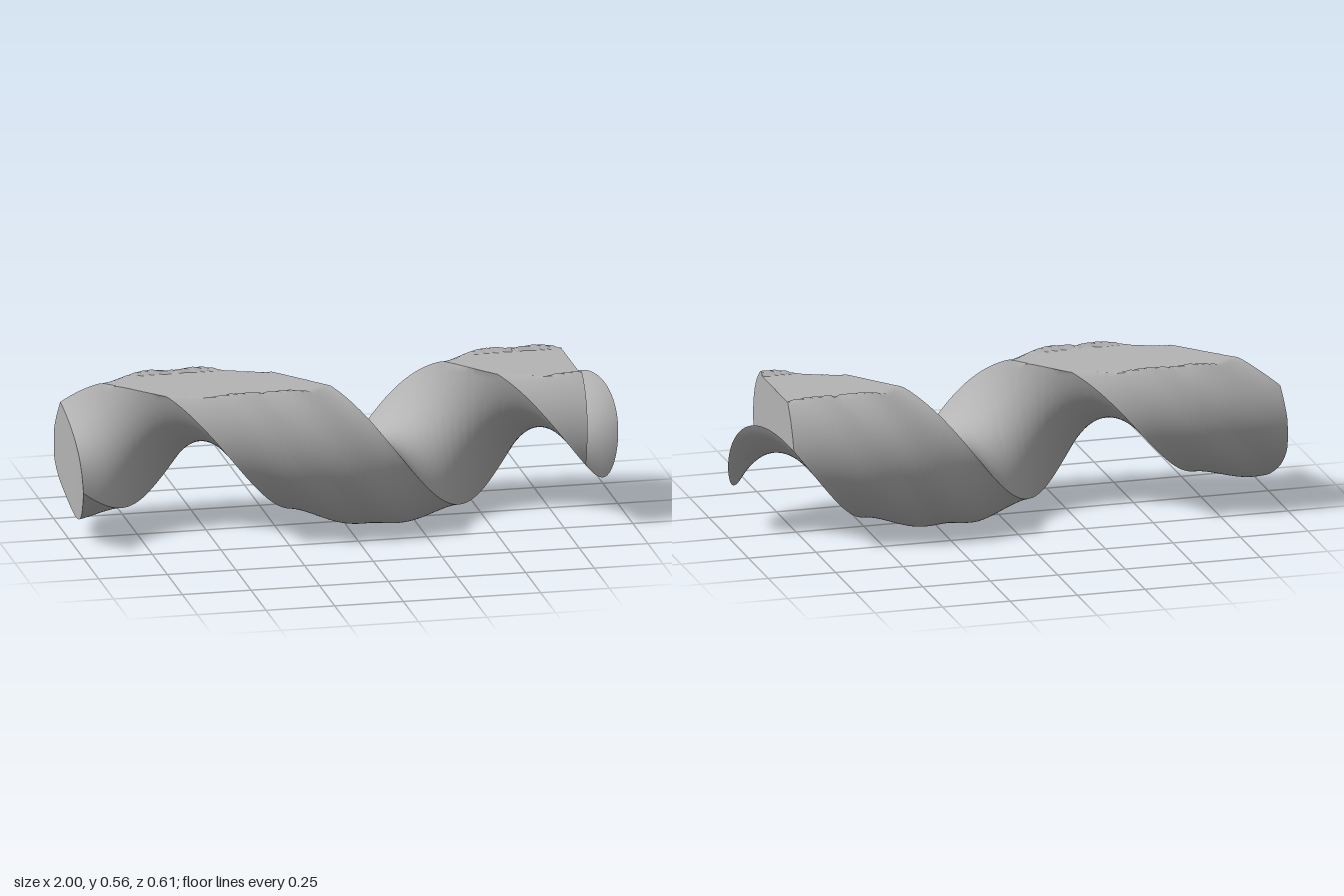
import * as THREE from 'three';
import { toCreasedNormals } from 'three/addons/utils/BufferGeometryUtils.js';

const START = -0.97, END = 0.83, TIP = 1;
const HALF_WIDTH = 0.257, DEPTH = 0.303;
const clamp = THREE.MathUtils.clamp;

// Places a cross-section point (u across the flat, w out of the round back)
// at station x on the slightly rising, tapering, twisting axis.
function place(x, u, w) {
  const turn = (x - 0.155) / 0.615 * Math.PI;
  const left = clamp((0.1 - x) / 1.07, 0, 1);
  const size = 1 - 0.14 * left;
  const s = Math.sin(turn), c = Math.cos(turn);
  const z = size * (-u * c - w * s);
  let y = 0.303 + 0.035 * Math.min(1, left * 1.4) + size * (u * s - w * c);
  // flat trimmed top with a slight lip on both sides
  y = Math.min(y, 0.54 + clamp(Math.abs(z) - 0.155, 0, 0.016));
  // hollowed left end
  const fade = clamp((-0.75 - x) / 0.22, 0, 1);
  return [x - 0.03 * fade * Math.min(1, (z / 0.24) ** 2), Math.max(0, y), z];
}

// Surface from a rule of two parameters, each running 0..1
function grid(rows, cols, rule, flip = false) {
  const pos = [], idx = [];
  for (let i = 0; i <= rows; i++) {
    for (let j = 0; j <= cols; j++) pos.push(...rule(i / rows, j / cols));
  }
  for (let i = 0; i < rows; i++) {
    for (let j = 0; j < cols; j++) {
      const a = i * (cols + 1) + j, b = a + cols + 1;
      if (flip) idx.push(a, b + 1, b, a, a + 1, b + 1);
      else idx.push(a, b, b + 1, a, b + 1, a + 1);
    }
  }
  const g = new THREE.BufferGeometry();
  g.setAttribute('position', new THREE.Float32BufferAttribute(pos, 3));
  g.setIndex(idx);
  return toCreasedNormals(g, 0.45);
}

// Full, squarish half-round back of the cross-section
function back(t) {
  const a = t * Math.PI, e = 2 / 2.5;
  const c = Math.cos(a), s = Math.max(0, Math.sin(a));
  return [HALF_WIDTH * Math.sign(c) * Math.abs(c) ** e, DEPTH * s ** e];
}

export function createModel() {
  const group = new THREE.Group();
  const grey = new THREE.MeshStandardMaterial({ color: 0xb4b4b4, side: THREE.DoubleSide });
  grey.name = 'grey';
  const add = (name, geometry) => {
    const mesh = new THREE.Mesh(geometry, grey);
    mesh.name = name;
    group.add(mesh);
  };
  const along = (k) => START + (END - START) * k;

  // Twisted body: round back and helical flat
  add('roundBack', grid(180, 64, (i, j) => place(along(i), ...back(j))));
  add('twistedFlat', grid(180, 24, (i, j) => place(along(i), HALF_WIDTH * (2 * j - 1), 0)));

  // End caps fill from the flat out to the back
  const cap = (x) => (i, j) => {
    const [u, w] = back(j);
    return place(x, u, w * i);
  };
  add('leftCap', grid(12, 64, cap(START)));
  add('rightCap', grid(12, 64, cap(END), true));

  // Thin helical fin narrowing to a rounded tip
  add('tipFin', grid(40, 24, (i, j) => {
    const k = Math.sin(i * Math.PI / 2);
    const width = HALF_WIDTH * Math.sqrt(Math.max(0, 1 - k * k));
    return place(END + (TIP - END) * k, width * (2 * j - 1), 0);
  }));

  return group;
}
